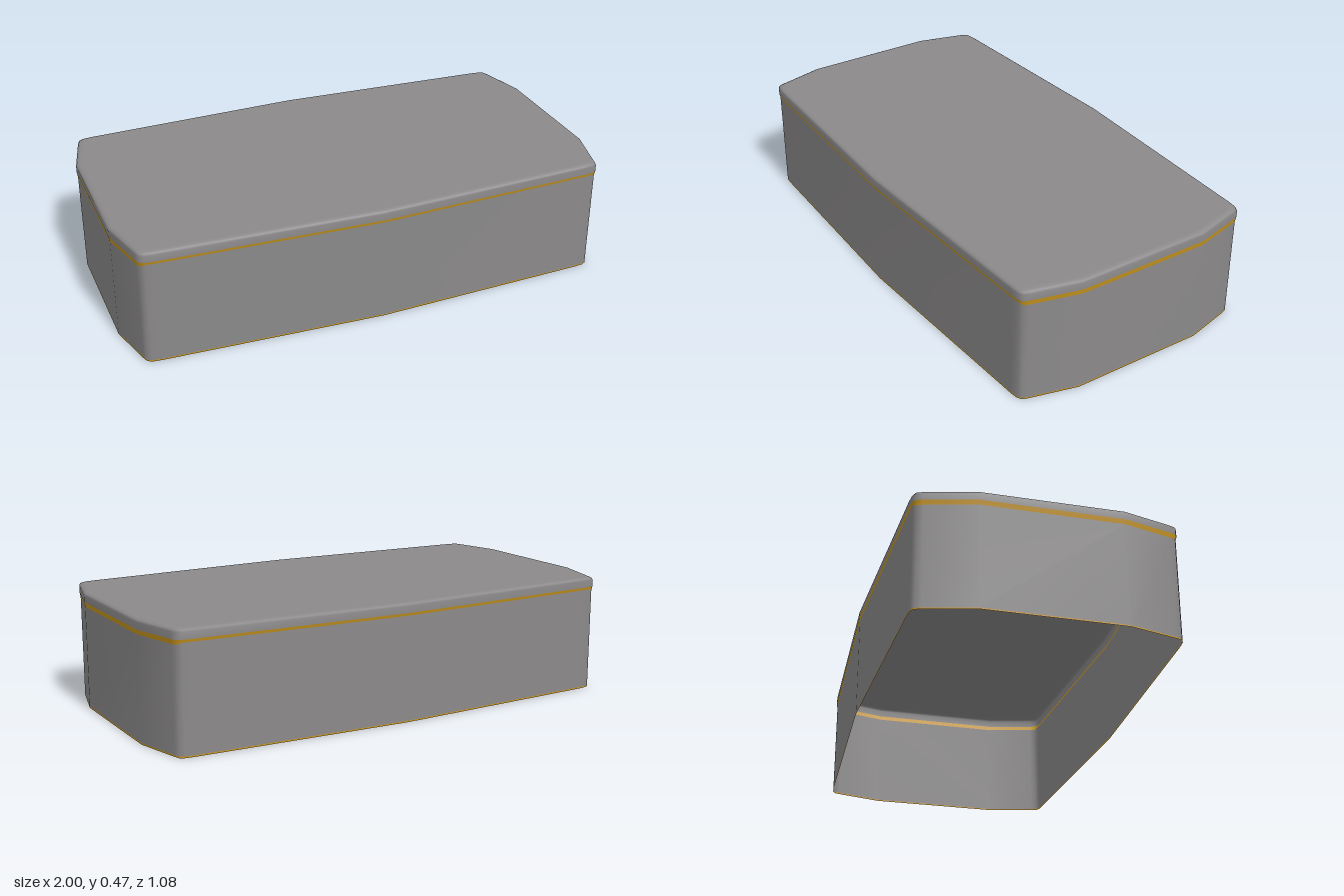
import * as THREE from 'three';

const HALF_DEPTH = 0.538;

// One quarter of the outline [x, z], mirrored into a closed loop (front centre, right, back, left)
const quarter = [[0, 0.538], [0.89, 0.502], [0.925, 0.498], [0.943, 0.488], [0.951, 0.465], [1, 0.275]];
const outline = [
  ...quarter,
  ...quarter.slice(1).reverse().map(([x, z]) => [x, -z]),
  ...quarter.map(([x, z]) => [-x, -z]),
  ...quarter.slice(1).reverse().map(([x, z]) => [-x, z]),
].filter(([x, z], i, a) => i === 0 || x !== a[i - 1][0] || z !== a[i - 1][1]);

// Outline pulled inwards by d
const inset = (d) => outline.map(([x, z]) => [x * (1 - d), z * (1 - d / HALF_DEPTH)]);

// Smooth wall through stacked loops; each level is [height or height(x), inset]
function wall(levels) {
  const n = outline.length, pos = [], index = [];
  for (const [y, d] of levels) {
    for (const [x, z] of inset(d)) pos.push(x, typeof y === 'function' ? y(x) : y, z);
  }
  for (let r = 0; r < levels.length - 1; r++) {
    for (let i = 0; i < n; i++) {
      const a = r * n + i, b = r * n + (i + 1) % n;
      index.push(a, b, b + n, a, b + n, a + n);
    }
  }
  const g = new THREE.BufferGeometry();
  g.setAttribute('position', new THREE.Float32BufferAttribute(pos, 3));
  g.setIndex(index);
  g.computeVertexNormals();
  return g;
}

export function createModel() {
  const grey = new THREE.MeshStandardMaterial({ color: 0x8b898a, side: THREE.DoubleSide });
  grey.name = 'warm grey';
  const gold = new THREE.MeshStandardMaterial({ color: 0xc8961e, side: THREE.DoubleSide });
  gold.name = 'gold';

  const model = new THREE.Group();
  model.name = 'openBoxCover';
  const add = (name, geometry, material) => {
    const mesh = new THREE.Mesh(geometry, material);
    mesh.name = name;
    model.add(mesh);
    return mesh;
  };

  // Gold line is taller at the two ends than along the front and back
  const bandBottom = (x) => (Math.abs(x) > 0.935 ? 0.415 : 0.423);

  add('bottomTrim', wall([[0, 0.003], [0.006, 0.003]]), gold);
  add('sideWall', wall([[0.006, 0.003], [bandBottom, 0.003]]), grey);
  add('goldBand', wall([[bandBottom, 0.003], [0.434, 0]]), gold);

  // Lid rim with a small rolled top edge
  add('lidRim', wall([[0.434, 0], [0.461, 0], [0.468, 0.004], [0.472, 0.012], [0.473, 0.022]]), grey);

  // Flat lid top, open underneath
  const shape = new THREE.Shape(inset(0.022).map(([x, z]) => new THREE.Vector2(x, -z)));
  const top = add('lidTop', new THREE.ShapeGeometry(shape).rotateX(-Math.PI / 2), grey);
  top.position.y = 0.473;

  return model;
}
